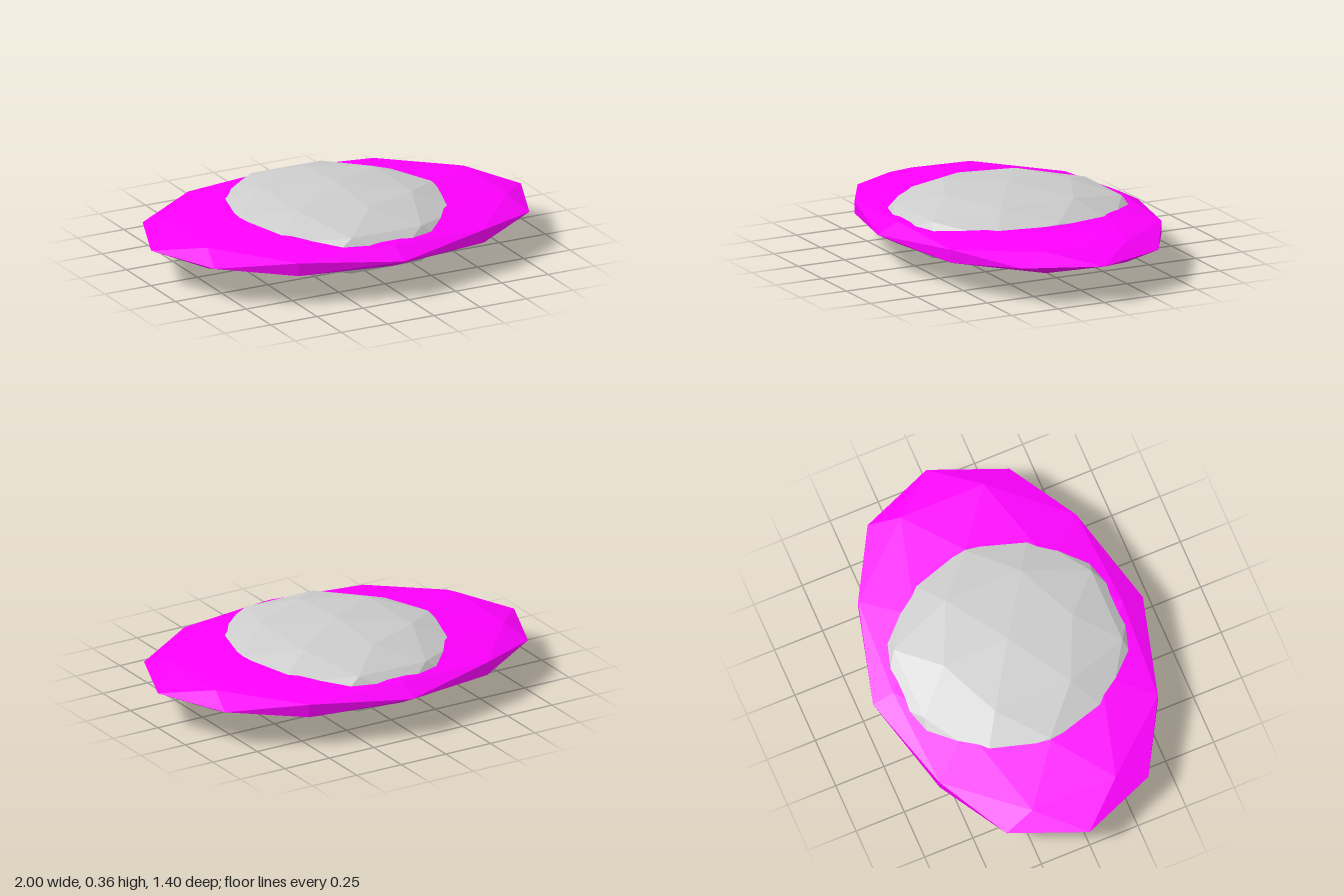
import * as THREE from 'three';

const CENTRE_Y = 0.178;

// Faceted ball squashed to the given half-sizes, optionally turned about y first
function facetedEllipsoid(name, color, rx, ry, rz, turn = 0) {
  const geometry = new THREE.IcosahedronGeometry(1, 1);
  geometry.rotateY(turn);
  geometry.scale(rx, ry, rz);
  geometry.computeVertexNormals();
  const material = new THREE.MeshStandardMaterial({ color, flatShading: true });
  const mesh = new THREE.Mesh(geometry, material);
  mesh.name = name;
  mesh.position.y = CENTRE_Y;
  return mesh;
}

export function createModel() {
  const group = new THREE.Group();
  group.name = 'saucer';

  // Wide thin disc
  group.add(facetedEllipsoid('disc', 0xff00ff, 1, 0.104, 0.7));

  // Thicker core bulging above and below the disc
  group.add(facetedEllipsoid('core', 0xcccccc, 0.61, 0.178, 0.635, Math.PI / 2));

  return group;
}
